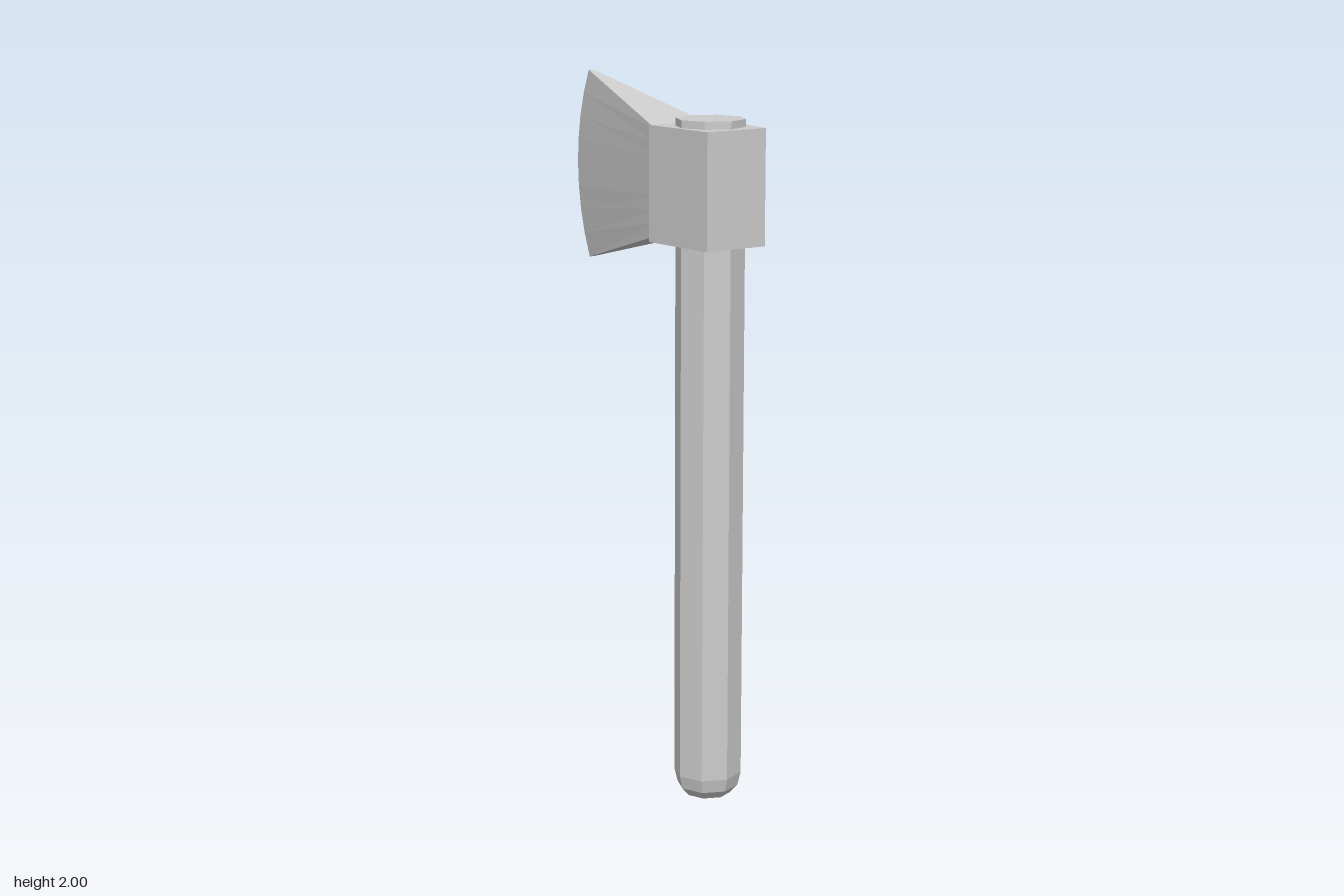
import * as THREE from 'three';

const material = new THREE.MeshStandardMaterial({ color: 0xcccccc, flatShading: true });

// Unit-cornered box (-1..1) whose vertices are moved by a rule
function shapedBox(name, ySegments, rule) {
  const geometry = new THREE.BoxGeometry(2, 2, 2, 1, ySegments, 1);
  const pos = geometry.attributes.position;
  for (let i = 0; i < pos.count; i++) {
    pos.setXYZ(i, ...rule(pos.getX(i), pos.getY(i), pos.getZ(i)));
  }
  geometry.computeVertexNormals();
  const mesh = new THREE.Mesh(geometry, material);
  mesh.name = name;
  return mesh;
}

export function createModel() {
  const group = new THREE.Group();
  group.name = 'axe';

  // Octagonal handle with a rounded butt and a flat top
  const profile = [
    [0, 0], [0.03, 0.003], [0.065, 0.013], [0.086, 0.037], [0.095, 0.075], [0.095, 1.912], [0, 1.912],
  ].map(([r, y]) => new THREE.Vector2(r, y));
  const handle = new THREE.Mesh(new THREE.LatheGeometry(profile, 8), material);
  handle.name = 'handle';
  handle.position.z = 0.265;
  group.add(handle);

  // Head block, wider towards the blade
  group.add(shapedBox('headBlock', 1, (x, y, z) => [
    x * (z > 0 ? 0.095 : 0.118),
    1.733 + y * 0.158,
    z > 0 ? 0.384 : 0.147,
  ]));

  // Blade, flaring in height and thinning to a curved cutting edge
  const radius = 0.629;
  group.add(shapedBox('blade', 8, (x, y, z) => {
    if (z > 0) return [x * 0.094, 1.733 + y * 0.143, 0.148];
    const h = y * 0.268;
    return [x * 0.008, 1.732 + h, -0.384 + radius - Math.sqrt(radius * radius - h * h)];
  }));

  return group;
}
